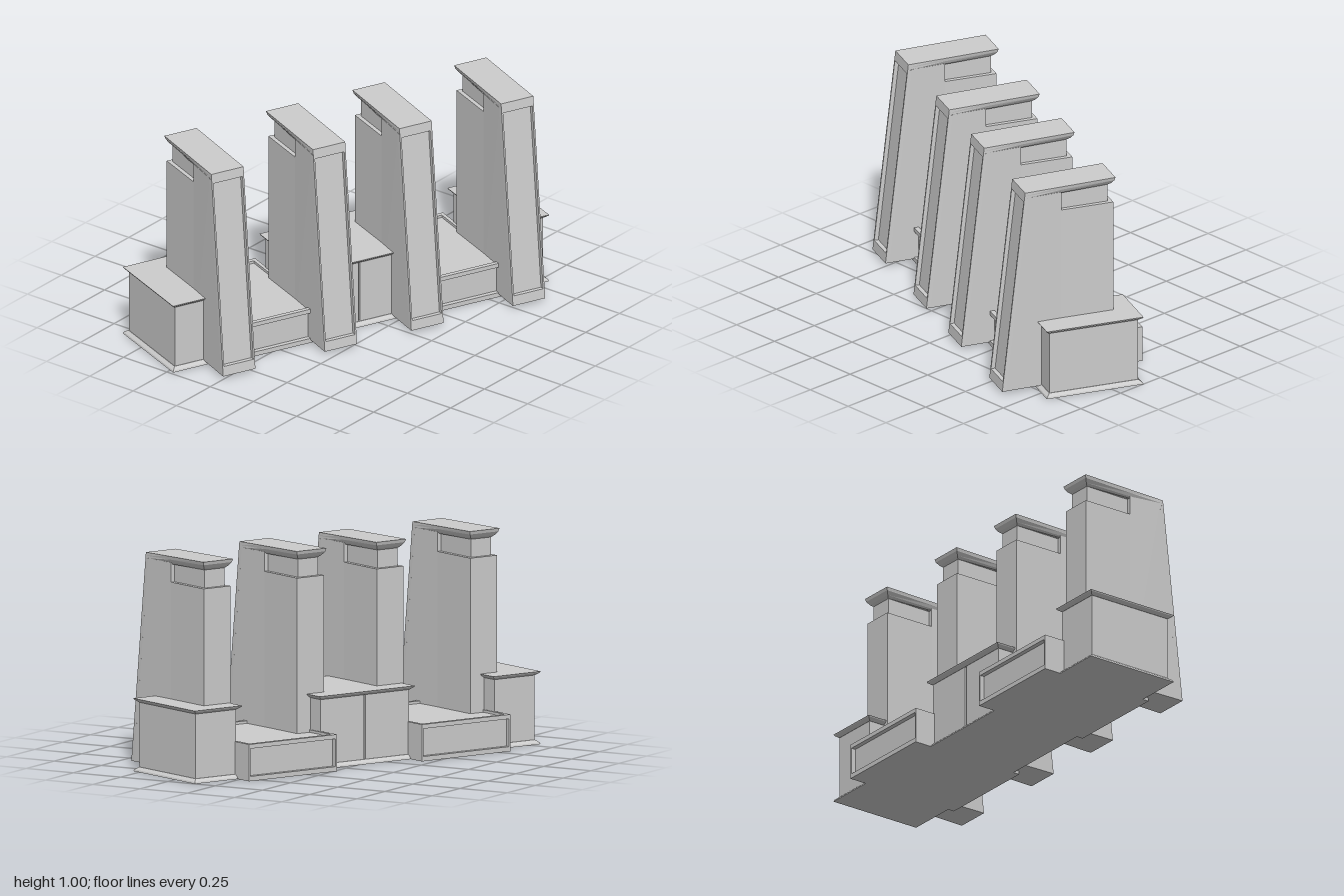
import * as THREE from 'three';

const stone = new THREE.MeshStandardMaterial({ color: 0xcccccc });
stone.name = 'pale stone';

// Closed flat-faced solid through rings of [x, y, z] points (counterclockwise from above, bottom first)
function loft(rings) {
  const pos = [];
  const tri = (a, b, c) => pos.push(...a, ...b, ...c);
  const n = rings[0].length;
  for (let k = 0; k < rings.length - 1; k++) {
    for (let i = 0; i < n; i++) {
      const j = (i + 1) % n;
      tri(rings[k][i], rings[k][j], rings[k + 1][j]);
      tri(rings[k][i], rings[k + 1][j], rings[k + 1][i]);
    }
  }
  const bottom = rings[0], top = rings[rings.length - 1];
  for (let i = 1; i < n - 1; i++) {
    tri(bottom[0], bottom[i + 1], bottom[i]);
    tri(top[0], top[i], top[i + 1]);
  }
  const g = new THREE.BufferGeometry();
  g.setAttribute('position', new THREE.Float32BufferAttribute(pos, 3));
  g.computeVertexNormals();
  return g;
}

function add(parent, name, geometry) {
  const m = new THREE.Mesh(geometry, stone);
  m.name = name;
  parent.add(m);
  return m;
}

function box(parent, name, x0, x1, y0, y1, z0, z1) {
  const m = add(parent, name, new THREE.BoxGeometry(x1 - x0, y1 - y0, z1 - z0));
  m.position.set((x0 + x1) / 2, (y0 + y1) / 2, (z0 + z1) / 2);
}

const rect = (x0, x1, y, z0, z1) => [[x0, y, z1], [x1, y, z1], [x1, y, z0], [x0, y, z0]];

// Sloping front line of a pylon
const front = y => 0.354 - 0.114 * y;

// Slab that follows the sloping front
const leaning = (y0, y1, depth, z0, z1) =>
  loft([y0, y1].map(y => rect(front(y) - depth, front(y), y, z0, z1)));

function pylon(z) {
  const g = new THREE.Group();
  g.name = 'pylon';
  g.position.z = z;
  const H = 0.084, T = 0.076, N = 0.056, step = 0.06;

  box(g, 'tower', -0.191, step, 0, 0.875, -T, T);
  box(g, 'neck', -0.171, step + 0.01, 0.87, 0.97, -N, N);

  // Fin widens from the tower to the recessed front panel
  const finRing = y => [[step, y, T], [front(y) - 0.02, y, H], [front(y) - 0.02, y, -H], [step, y, -T]];
  add(g, 'fin', loft([finRing(0.015), finRing(0.965)]));

  // Frame around the front panel
  for (const s of [-1, 1]) {
    const a = s * H, b = s * (H - 0.008);
    add(g, 'frontFrame', leaning(0.015, 0.962, 0.021, Math.min(a, b), Math.max(a, b)));
  }
  add(g, 'frontFoot', leaning(0.015, 0.062, 0.021, -H, H));
  add(g, 'frontHead', leaning(0.945, 0.962, 0.021, -H, H));

  // Cap flares out over the neck and runs flush into the fin
  const capRing = (back, hw, mid, yBack, yFront) => {
    const f = front(yFront), yMid = yBack + (yFront - yBack) * 0.6;
    return [[back, yBack, hw], [step, yMid, mid], [f, yFront, H],
      [f, yFront, -H], [step, yMid, -mid], [back, yBack, -hw]];
  };
  add(g, 'cap', loft([
    capRing(-0.171, N, 0.066, 0.958, 0.955),
    capRing(-0.183, 0.068, 0.074, 0.968, 0.963),
    capRing(-0.195, 0.08, 0.081, 0.985, 0.975),
    capRing(-0.199, H, H, 1.0, 0.991),
  ]));
  return g;
}

// Tall block with a spreading foot and a bevelled lid; an optional seam splits its body
function block(z0, z1, seam) {
  const g = new THREE.Group();
  g.name = 'block';
  const X0 = -0.291, X1 = 0.179;
  const ring = (d, y) => rect(X0 + d, X1 - d, y, z0 + d, z1 - d);
  add(g, 'foot', loft([ring(0, 0), ring(0.003, 0.008), ring(0.018, 0.02)]));
  const d = 0.02;
  if (seam) {
    const m = (z0 + z1) / 2;
    box(g, 'body', X0 + d, X1 - d, 0.01, 0.32, z0 + d, m - 0.005);
    box(g, 'body', X0 + d, X1 - d, 0.01, 0.32, m + 0.005, z1 - d);
    box(g, 'seam', X0 + 0.035, X1 - 0.035, 0.01, 0.32, m - 0.006, m + 0.006);
  } else {
    box(g, 'body', X0 + d, X1 - d, 0.01, 0.32, z0 + d, z1 - d);
  }
  add(g, 'lid', loft([ring(0.019, 0.318), ring(0.003, 0.33), ring(0, 0.336)]));
  return g;
}

// Low bay with recessed long sides and a thin rim round its deck
function bay(z0, z1) {
  const g = new THREE.Group();
  g.name = 'bay';
  const X0 = -0.377, X1 = 0.211, d = 0.022, t = 0.008;
  box(g, 'core', X0 + d, X1 - d, 0, 0.158, z0 + t, z1 - t);
  box(g, 'plinth', X0, X1, 0, 0.022, z0, z1);
  for (const z of [z0, z1 - t]) box(g, 'endWall', X0, X1, 0.02, 0.155, z, z + t);
  for (const x of [X0, X1 - d]) box(g, 'longRim', x, x + d, 0.15, 0.17, z0, z1);
  for (const z of [z0, z1 - 0.018]) box(g, 'endRim', X0 + d, X1 - d, 0.15, 0.17, z, z + 0.018);
  return g;
}

export function createModel() {
  const model = new THREE.Group();
  model.name = 'pylonRow';
  const row = new THREE.Group();
  row.name = 'row';
  row.rotation.y = -0.4;
  model.add(row);

  for (const z of [-0.763, -0.233, 0.218, 0.748]) row.add(pylon(z));
  row.add(block(-0.964, -0.695, false), block(-0.255, 0.285, true), block(0.73, 0.997, false));
  row.add(bay(-0.72, -0.222), bay(0.26, 0.763));
  return model;
}
